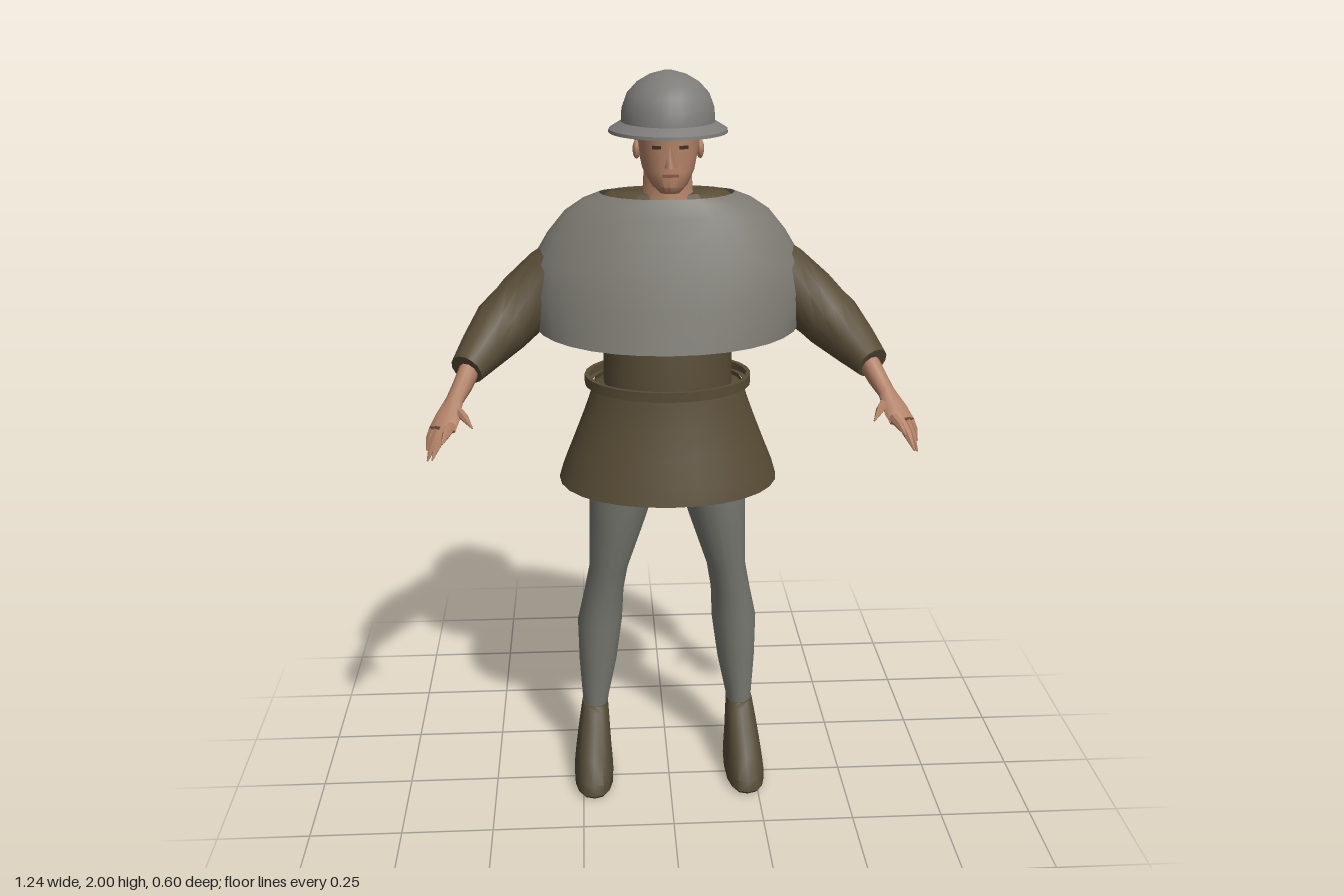
import * as THREE from 'three';
import { toCreasedNormals } from 'three/addons/utils/BufferGeometryUtils.js';

const mat = (name, color, side = THREE.FrontSide) => {
  const m = new THREE.MeshStandardMaterial({ color, side });
  m.name = name;
  return m;
};

// Skin a stack of point rings (ordered along the axis), with optional end caps.
function skin(rings, caps = true) {
  const n = rings[0].length, pos = [], idx = [];
  rings.forEach(r => r.forEach(p => pos.push(p.x, p.y, p.z)));
  for (let i = 0; i < rings.length - 1; i++) {
    for (let j = 0; j < n; j++) {
      const k = (j + 1) % n, a = i * n + j, b = i * n + k;
      idx.push(a, a + n, b, b, a + n, b + n);
    }
  }
  if (caps) {
    [rings[0], rings[rings.length - 1]].forEach((r, end) => {
      const base = pos.length / 3, c = new THREE.Vector3();
      r.forEach(p => { pos.push(p.x, p.y, p.z); c.add(p); });
      c.divideScalar(n);
      pos.push(c.x, c.y, c.z);
      for (let j = 0; j < n; j++) {
        const a = base + j, b = base + (j + 1) % n;
        if (end) idx.push(a, base + n, b); else idx.push(a, b, base + n);
      }
    });
  }
  const g = new THREE.BufferGeometry();
  g.setAttribute('position', new THREE.Float32BufferAttribute(pos, 3));
  g.setIndex(idx);
  return toCreasedNormals(g, 0.8);
}

// Horizontal ring section: [y, x0, x1, zFront, zBack, lift of the back edge]
function section([y, x0, x1, zf, zb, lift = 0], n, power, zMid) {
  const zm = zMid ?? (zf + zb) / 2, pts = [];
  const sq = v => Math.sign(v) * Math.abs(v) ** power;
  for (let j = 0; j < n; j++) {
    const a = j / n * Math.PI * 2, s = sq(Math.sin(a)), c = sq(Math.cos(a));
    pts.push(new THREE.Vector3((x0 + x1) / 2 + (x1 - x0) / 2 * c,
      y + lift * (1 - s) / 2, zm + (s > 0 ? zf - zm : zm - zb) * s));
  }
  return pts;
}
const loft = (rows, { n = 20, power = 1, zMid, caps = true } = {}) =>
  skin(rows.map(r => section(r, n, power, zMid)), caps);
// Same, for sections symmetric about x = 0: [y, halfWidth, zFront, zBack, lift]
const body = (rows, o) => loft(rows.map(([y, w, ...r]) => [y, -w, w, ...r]), o);

// Limb along a path of [x, y, z, width radius, height radius]
function limb(path, n = 12) {
  const c = path.map(p => new THREE.Vector3(p[0], p[1], p[2]));
  return skin(path.map((p, i) => {
    const t = c[Math.min(i + 1, c.length - 1)].clone().sub(c[Math.max(i - 1, 0)]).normalize();
    const u = t.clone().cross(new THREE.Vector3(0, 1, 0)).normalize(), v = u.clone().cross(t);
    return Array.from({ length: n }, (_, j) => {
      const a = j / n * Math.PI * 2;
      return c[i].clone().addScaledVector(u, p[3] * Math.cos(a))
        .addScaledVector(v, (p[4] ?? p[3]) * Math.sin(a));
    });
  }));
}

// Mirror an unindexed geometry in x, keeping its faces outward
function mirrored(g) {
  const m = g.clone();
  for (const key of ['position', 'normal']) {
    const a = m.attributes[key];
    for (let i = 0; i < a.count; i += 3) {
      const v = [0, 2, 1].map(k => [-a.getX(i + k), a.getY(i + k), a.getZ(i + k)]);
      v.forEach((p, k) => a.setXYZ(i + k, ...p));
    }
  }
  return m;
}

export function createModel() {
  const model = new THREE.Group();
  model.name = 'soldier';
  const tunic = mat('tunicBrown', 0x574b35, THREE.DoubleSide);
  const leather = mat('shoeBrown', 0x544a37);
  const cloth = mat('mantleGrey', 0x7b7971, THREE.DoubleSide);
  const hose = mat('hoseGrey', 0x777770);
  const steel = mat('helmetGrey', 0x7d7c79);
  const skinTone = mat('skin', 0xb08065);
  const hair = mat('hair', 0x6b3e2b);
  const dark = mat('eyeDark', 0x3f2d24);
  const lips = mat('lips', 0x8a5748);

  const add = (name, g, m) => {
    const mesh = new THREE.Mesh(g, m);
    mesh.name = name;
    model.add(mesh);
  };
  const pair = (name, g, m) => {
    const flat = g.index ? g.toNonIndexed() : g;
    add('left' + name, flat, m);
    add('right' + name, mirrored(flat), m);
  };

  // Helmet with a sloping brim
  add('helmet', body([
    [1.868, 0.1, 0.08, -0.165], [1.852, 0.15, 0.122, -0.205], [1.86, 0.149, 0.121, -0.204],
    [1.878, 0.118, 0.096, -0.184], [1.91, 0.116, 0.093, -0.182], [1.945, 0.103, 0.074, -0.165],
    [1.972, 0.078, 0.045, -0.135], [1.99, 0.047, 0.01, -0.1], [2, 0.012, -0.03, -0.058],
  ], { n: 28 }), steel);

  // Head, neck and hair
  add('head', body([
    [1.712, 0.025, 0.052, 0], [1.73, 0.046, 0.066, -0.06], [1.765, 0.066, 0.062, -0.12],
    [1.81, 0.076, 0.061, -0.142], [1.87, 0.08, 0.06, -0.15],
  ], { power: 0.9 }), skinTone);
  add('neck', body([
    [1.665, 0.085, 0.02, -0.145], [1.7, 0.064, 0.012, -0.138], [1.78, 0.06, 0.01, -0.13],
  ]), skinTone);
  add('hair', body([
    [1.795, 0.06, -0.05, -0.15], [1.81, 0.081, -0.035, -0.162], [1.87, 0.088, -0.02, -0.165],
  ]), hair);

  // Face
  const nose = new THREE.ConeGeometry(0.015, 0.055, 4);
  nose.scale(1, 1, 1.1).translate(0, 1.805, 0.066);
  add('nose', nose, skinTone);
  const mouth = new THREE.BoxGeometry(0.042, 0.007, 0.006);
  mouth.translate(0, 1.758, 0.062);
  add('mouth', mouth, lips);
  const eye = new THREE.BoxGeometry(0.022, 0.008, 0.006);
  eye.rotateY(0.3).translate(0.033, 1.826, 0.053);
  pair('Eye', eye, dark);
  const ear = new THREE.SphereGeometry(0.02, 8, 6);
  ear.scale(0.5, 1.2, 0.8).translate(0.08, 1.81, -0.03);
  pair('Ear', ear, skinTone);

  // Shoulder mantle, open at neck and hem
  add('mantle', body([
    [1.32, 0.352, 0.14, -0.302, 0.06], [1.43, 0.37, 0.112, -0.275, 0.03],
    [1.52, 0.352, 0.088, -0.243], [1.59, 0.31, 0.063, -0.21], [1.645, 0.265, 0.045, -0.19],
    [1.675, 0.22, 0.034, -0.175], [1.692, 0.175, 0.026, -0.163],
  ], { n: 32, zMid: -0.1, power: 0.95, caps: false }), cloth);

  // Tunic: bodice, flared skirt and a loose belt
  add('bodice', body([
    [1.14, 0.172, 0.1, -0.2], [1.3, 0.17, 0.09, -0.212], [1.45, 0.2, 0.06, -0.212],
    [1.6, 0.23, 0.035, -0.19], [1.665, 0.195, 0.02, -0.17], [1.698, 0.15, -0.01, -0.15],
  ], { n: 24 }), tunic);
  add('skirt', body([
    [0.922, 0.296, 0.178, -0.304], [0.96, 0.285, 0.168, -0.293], [1.03, 0.257, 0.145, -0.272],
    [1.1, 0.23, 0.125, -0.248], [1.15, 0.212, 0.112, -0.232], [1.195, 0.198, 0.103, -0.22],
  ], { n: 28, power: 0.95, caps: false }), tunic);
  add('skirtTop', body([[1.185, 0.198, 0.103, -0.22], [1.195, 0.165, 0.098, -0.2]],
    { n: 24, caps: false }), tunic);
  add('belt', body([
    [1.188, 0.205, 0.1, -0.225], [1.188, 0.222, 0.116, -0.245],
    [1.214, 0.222, 0.116, -0.245], [1.214, 0.21, 0.105, -0.23],
  ], { n: 28, caps: false }), tunic);

  // Legs
  pair('Leg', loft([
    [0.16, 0.178, 0.246, -0.05, -0.145], [0.21, 0.173, 0.248, -0.05, -0.15],
    [0.33, 0.148, 0.255, -0.04, -0.165], [0.46, 0.13, 0.257, -0.035, -0.18],
    [0.56, 0.125, 0.236, -0.025, -0.165], [0.64, 0.112, 0.221, -0.01, -0.152],
    [0.78, 0.066, 0.217, 0.018, -0.158], [0.92, 0.02, 0.215, 0.032, -0.168],
    [0.98, -0.005, 0.21, 0.035, -0.18], [1.1, -0.005, 0.18, 0.04, -0.18],
  ], { n: 16 }), hose);

  // Pointed ankle shoes
  pair('Shoe', loft([
    [0, 0.172, 0.266, 0.118, -0.148], [0.012, 0.163, 0.276, 0.13, -0.16],
    [0.042, 0.164, 0.275, 0.124, -0.161], [0.09, 0.168, 0.268, 0.078, -0.16],
    [0.14, 0.171, 0.26, 0.022, -0.158], [0.185, 0.174, 0.252, -0.033, -0.156],
    [0.2, 0.176, 0.249, -0.048, -0.153],
  ], { n: 16, power: 0.75 }), leather);

  // Sleeves, forearms and hands
  pair('Sleeve', limb([
    [0.24, 1.53, -0.08, 0.07], [0.3, 1.475, -0.085, 0.082], [0.37, 1.41, -0.075, 0.084],
    [0.435, 1.355, -0.035, 0.078], [0.485, 1.31, 0.03, 0.06], [0.52, 1.278, 0.09, 0.044],
  ], 14), tunic);
  pair('Hand', limb([
    [0.505, 1.29, 0.07, 0.028], [0.53, 1.245, 0.12, 0.025], [0.548, 1.218, 0.15, 0.023, 0.019],
    [0.565, 1.185, 0.195, 0.035, 0.018], [0.576, 1.165, 0.222, 0.037, 0.014],
  ], 10), skinTone);
  const fingers = [
    [0.553, 1.175, 0.226, 0.57, 1.155, 0.3], [0.57, 1.168, 0.226, 0.598, 1.108, 0.285],
    [0.585, 1.163, 0.218, 0.614, 1.092, 0.248], [0.598, 1.16, 0.208, 0.617, 1.112, 0.225],
    [0.545, 1.2, 0.165, 0.498, 1.18, 0.258],
  ];
  fingers.forEach(([x, y, z, tx, ty, tz], i) => pair(i < 4 ? 'Finger' + (i + 1) : 'Thumb', limb([
    [x, y, z, 0.013], [(x + tx) / 2, (y + ty) / 2 + 0.004, (z + tz) / 2, 0.011], [tx, ty, tz, 0.002],
  ], 6), skinTone));

  return model;
}
